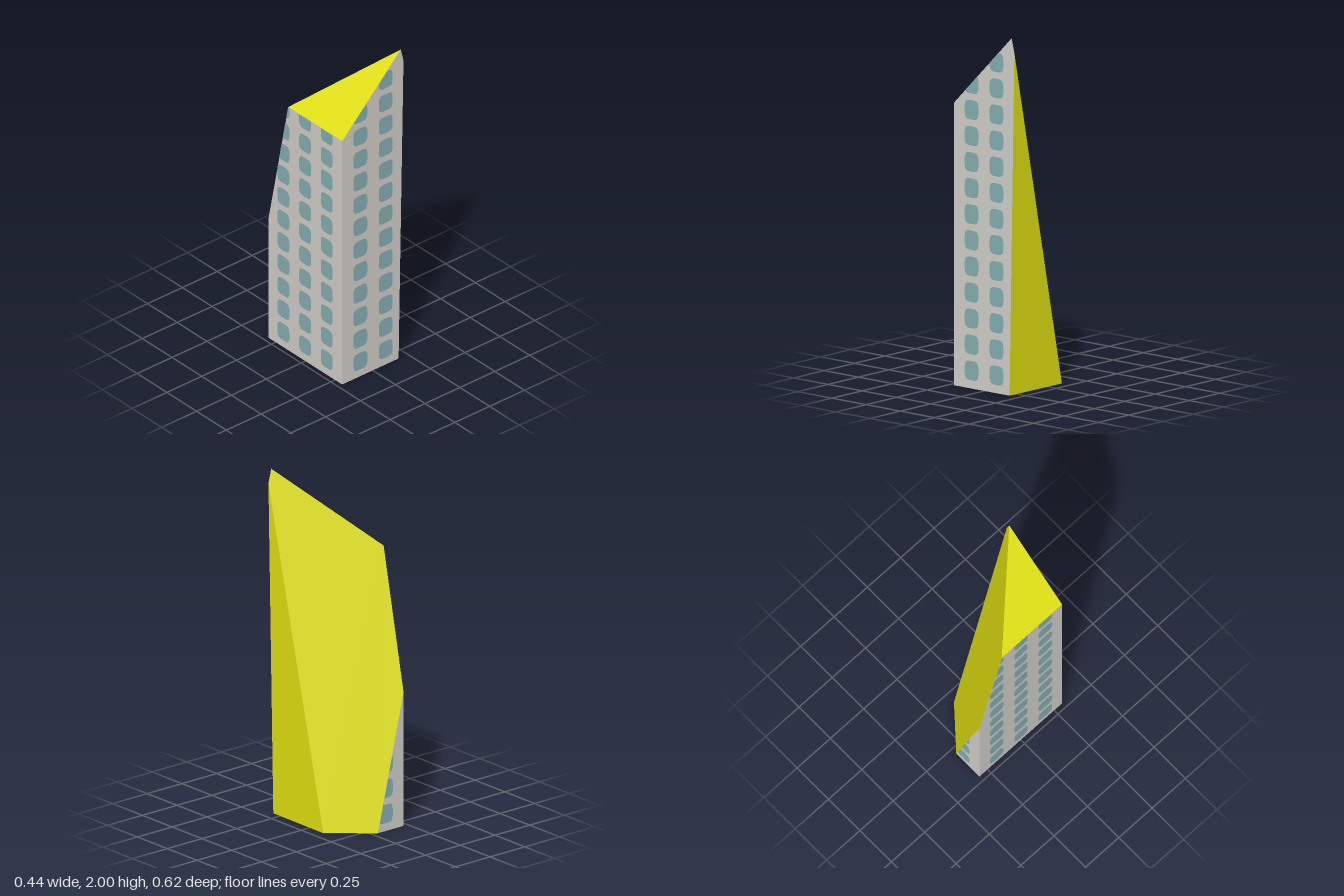
import * as THREE from 'three';
import { mergeGeometries } from 'three/addons/utils/BufferGeometryUtils.js';

const material = (name, color) => {
  const m = new THREE.MeshStandardMaterial({ color });
  m.name = name;
  return m;
};

// Flat convex panel through a loop of corners, always facing away from the tower core
function panel(points) {
  const core = new THREE.Vector3(-0.05, 0.7, 0.05);
  const pts = points.map((p) => new THREE.Vector3(...p));
  const normal = new THREE.Vector3();
  for (let i = 1; i < pts.length - 1; i++) {
    normal.add(pts[i].clone().sub(pts[0]).cross(pts[i + 1].clone().sub(pts[0])));
  }
  if (normal.dot(pts[0].clone().sub(core)) < 0) pts.reverse();
  const corners = [];
  for (let i = 1; i < pts.length - 1; i++) corners.push(pts[0], pts[i], pts[i + 1]);
  const geometry = new THREE.BufferGeometry().setFromPoints(corners);
  geometry.computeVertexNormals();
  return geometry;
}

// Trim a polygon to a counter-clockwise convex outline
function clip(poly, outline) {
  outline.forEach((a, i) => {
    const b = outline[(i + 1) % outline.length];
    const side = (p) => (b[0] - a[0]) * (p[1] - a[1]) - (b[1] - a[1]) * (p[0] - a[0]);
    const kept = [];
    poly.forEach((p, j) => {
      const q = poly[(j + 1) % poly.length];
      const sp = side(p), sq = side(q);
      if (sp >= 0) kept.push(p);
      if (sp * sq < 0) {
        const t = sp / (sp - sq);
        kept.push([p[0] + t * (q[0] - p[0]), p[1] + t * (q[1] - p[1])]);
      }
    });
    poly = kept;
  });
  return poly;
}

// Rounded-square window outline
function windowOutline(cx, cy) {
  const pts = [];
  for (let i = 0; i < 24; i++) {
    const a = ((i + 0.5) / 24) * Math.PI * 2;
    const round = (v) => Math.sign(v) * Math.sqrt(Math.abs(v));
    pts.push([cx + 0.05 * round(Math.cos(a)), cy + 0.054 * round(Math.sin(a))]);
  }
  return pts;
}

export function createModel() {
  const wall = material('concrete', 0xd0cdc8);
  const glass = material('window glass', 0x83adb1);
  const yellow = material('yellow cladding', 0xe0e010);
  const base = material('base grey', 0xc0c0c0);

  const group = new THREE.Group();
  group.name = 'tower';
  const add = (name, geometry, mat) => {
    const mesh = new THREE.Mesh(geometry, mat);
    mesh.name = name;
    group.add(mesh);
  };

  // Corners of the faceted tower
  const X = -0.22, Z = 0.31;
  const frontLow = [0.185, 0, Z], frontHigh = [0.22, 1.92, Z], peak = [0.2, 2, Z];
  const eaveFront = [X, 1.58, Z], eaveBack = [X, 1.58, -0.143], shoulder = [X, 0.775, -Z];
  const sideLow = [0.19, 0, -0.115], backLow = [-0.035, 0, -Z];
  const cornerFront = [X, 0, Z], cornerBack = [X, 0, -Z];

  // Yellow roof and slanted faces
  add('roof', panel([eaveFront, peak, eaveBack]), yellow);
  add('slantedFace', panel([eaveBack, peak, frontHigh, sideLow, backLow, shoulder]), yellow);
  add('sideFace', panel([frontLow, sideLow, frontHigh]), yellow);
  add('underside', panel([cornerFront, frontLow, sideLow, backLow, cornerBack]), base);

  // Upright walls with a grid of windows trimmed at the wall edges
  const walls = [
    { name: 'front', columns: [-0.091, 0.091], place: (u, v, e) => [u, v, Z + e],
      outline: [[X, 0], [0.185, 0], [0.22, 1.92], [0.2, 2], [X, 1.58]] },
    { name: 'back', columns: [-0.091], place: (u, v, e) => [u, v, -Z - e],
      outline: [[X, 0], [-0.035, 0], [X, 0.775]] },
    { name: 'side', columns: [-0.182, 0, 0.182], place: (u, v, e) => [X - e, v, u],
      outline: [[-Z, 0], [Z, 0], [Z, 1.58], [-0.143, 1.58], [-Z, 0.775]] },
  ];
  for (const { name, columns, place, outline } of walls) {
    add(name + 'Wall', panel(outline.map(([u, v]) => place(u, v, 0))), wall);
    const panes = [];
    for (const u of columns) {
      for (let row = 0; row < 13; row++) {
        const pane = clip(windowOutline(u, 0.1 + row * 0.1458), outline);
        if (pane.length > 2) panes.push(panel(pane.map(([a, b]) => place(a, b, 0.002))));
      }
    }
    add(name + 'Windows', mergeGeometries(panes), glass);
  }
  return group;
}
